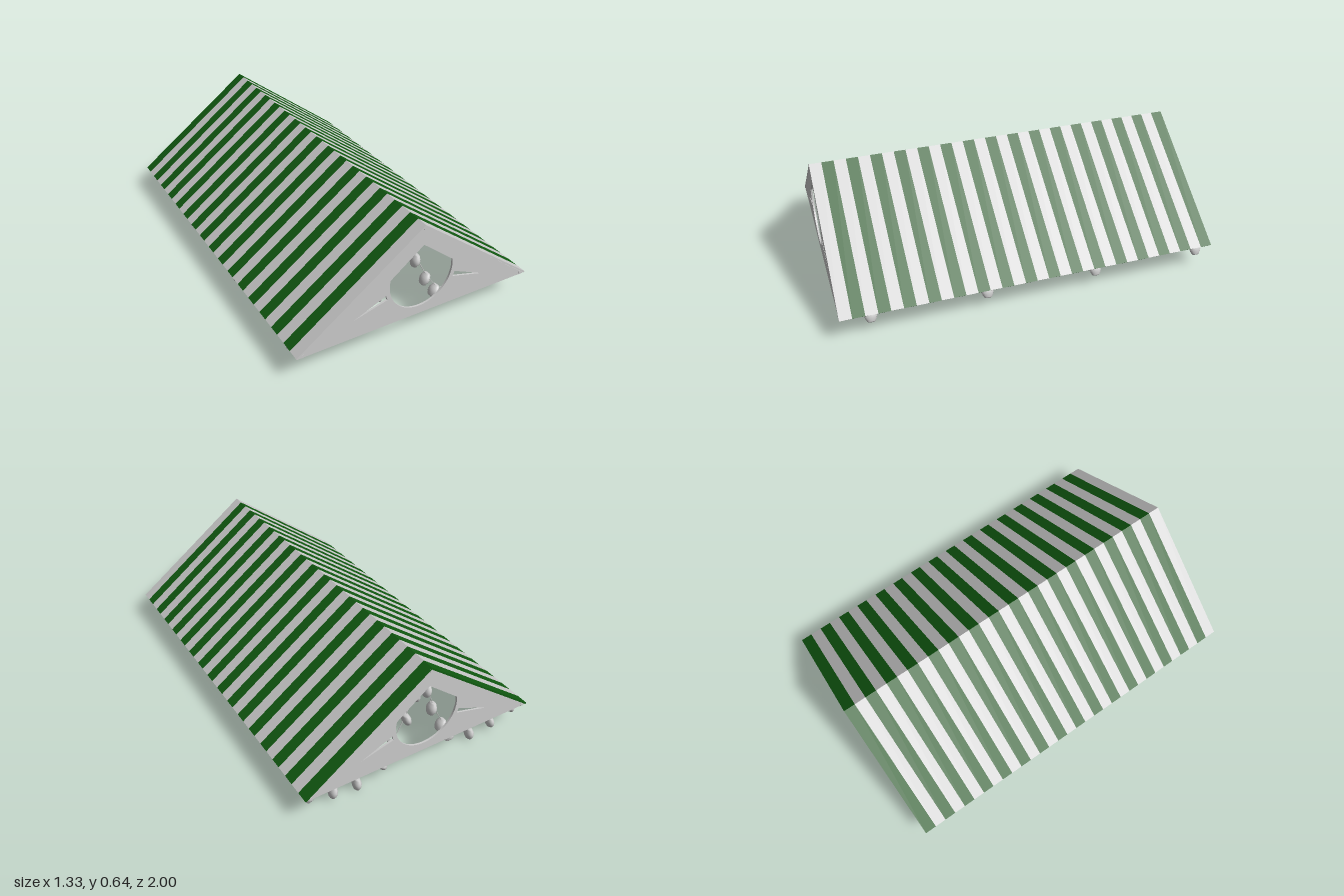
import * as THREE from 'three';

const grey = new THREE.MeshStandardMaterial({ color: 0xcccccc });
const greyThin = new THREE.MeshStandardMaterial({ color: 0xcccccc, side: THREE.DoubleSide });
const green = new THREE.MeshStandardMaterial({ color: 0x115a11 });

const polygon = (points) => points.map(([x, y]) => new THREE.Vector2(x, y));

function addMesh(parent, name, geometry, material, x = 0, y = 0, z = 0) {
  const mesh = new THREE.Mesh(geometry, material);
  mesh.name = name;
  mesh.position.set(x, y, z);
  parent.add(mesh);
  return mesh;
}

// Striped chevron roof: alternating slices along z
function makeRoof() {
  const roof = new THREE.Group();
  roof.name = 'stripedRoof';
  const count = 32, width = 2 / count;
  const section = new THREE.Shape(polygon([
    [0, 0.64], [-0.665, 0.142], [-0.658, 0.136], [0, 0.629], [0.658, 0.136], [0.665, 0.142],
  ]));
  const slice = new THREE.ExtrudeGeometry(section, { depth: width, bevelEnabled: false });
  for (let i = 0; i < count; i++) {
    addMesh(roof, 'roofStripe', slice, i % 2 ? grey : green, 0, 0, -1 + i * width);
  }
  return roof;
}

// Triangular gable with a pointed round opening and two slits
function makeGableGeometry(depth) {
  const gable = new THREE.Shape(polygon([[-0.655, 0.136], [0.655, 0.136], [0, 0.631]]));
  const opening = new THREE.Path();
  const shoulder = Math.asin(0.033 / 0.178);
  opening.moveTo(0, 0.532);
  opening.lineTo(-0.175, 0.393);
  opening.absarc(0, 0.36, 0.178, Math.PI - shoulder, Math.PI * 2 + shoulder, false);
  opening.closePath();
  gable.holes.push(opening);
  for (const s of [-1, 1]) {
    gable.holes.push(new THREE.Path(polygon([[s * 0.368, 0.238], [s * 0.196, 0.314], [s * 0.187, 0.287]])));
  }
  return new THREE.ExtrudeGeometry(gable, { depth, bevelEnabled: false, curveSegments: 40 });
}

// Ribbed paper lantern, hanging down from its origin
function makeLanternGeometry() {
  const ribs = 6, height = 0.066;
  const profile = [new THREE.Vector2(0, -height)];
  for (let i = 0; i <= ribs * 2; i++) {
    const t = i / (ribs * 2);
    const bulge = 0.019 + 0.014 * Math.sin(Math.PI * t);
    profile.push(new THREE.Vector2(bulge - (i % 2 ? 0 : 0.003), -height * (1 - t)));
  }
  profile.push(new THREE.Vector2(0, 0));
  const geometry = new THREE.LatheGeometry(profile, 14);
  geometry.scale(0.64, 1, 1);
  return geometry;
}

// One half of a garland: a sagging string from eave to ridge with lanterns
const stringPoints = [
  [0.64, 0.142], [0.593, 0.122], [0.48, 0.084], [0.345, 0.065], [0.24, 0.1],
  [0.2, 0.137], [0.132, 0.24], [0.077, 0.354], [0.032, 0.49], [0, 0.622],
];
const lanterns = [ // x, y of the top, tilt of the bottom toward the centre in degrees
  [0.595, 0.126, -26], [0.474, 0.085, -11], [0.344, 0.067, -2], [0.226, 0.117, 36],
  [0.16, 0.215, 30], [0.084, 0.354, 16], [0.037, 0.484, 7],
];

function makeHalfGarland(side, lanternGeometry) {
  const half = new THREE.Group();
  half.name = side > 0 ? 'leftGarland' : 'rightGarland';
  const curve = new THREE.CatmullRomCurve3(
    stringPoints.map(([x, y]) => new THREE.Vector3(side * x, y, 0)));
  addMesh(half, 'string', new THREE.TubeGeometry(curve, 40, 0.002, 5), grey);
  for (const [x, y, tilt] of lanterns) {
    const lantern = addMesh(half, 'lantern', lanternGeometry, greyThin, side * x, y, 0);
    lantern.rotation.z = -side * THREE.MathUtils.degToRad(tilt);
  }
  return half;
}

export function createModel() {
  const model = new THREE.Group();
  model.name = 'festivalTentRoof';
  model.add(makeRoof());

  // Gables at the front, middle and back
  const thickness = 0.01;
  const gable = makeGableGeometry(thickness);
  for (const [name, z] of [['frontGable', 0.993], ['middleGable', 0], ['backGable', -0.993]]) {
    addMesh(model, name, gable, grey, 0, 0, z - thickness / 2);
  }

  // Ridge and eave beams
  const beam = new THREE.BoxGeometry(0.016, 0.016, 2);
  addMesh(model, 'ridgeBeam', beam, grey, 0, 0.624, 0);
  for (const s of [-1, 1]) addMesh(model, 'eaveBeam', beam, grey, s * 0.633, 0.144, 0);

  // Four rows of lantern garlands
  const lanternGeometry = makeLanternGeometry();
  for (let i = 0; i < 4; i++) {
    const garland = new THREE.Group();
    garland.name = 'garland';
    garland.position.z = 0.843 - i * 0.594;
    for (const s of [-1, 1]) garland.add(makeHalfGarland(s, lanternGeometry));
    model.add(garland);
  }
  return model;
}
